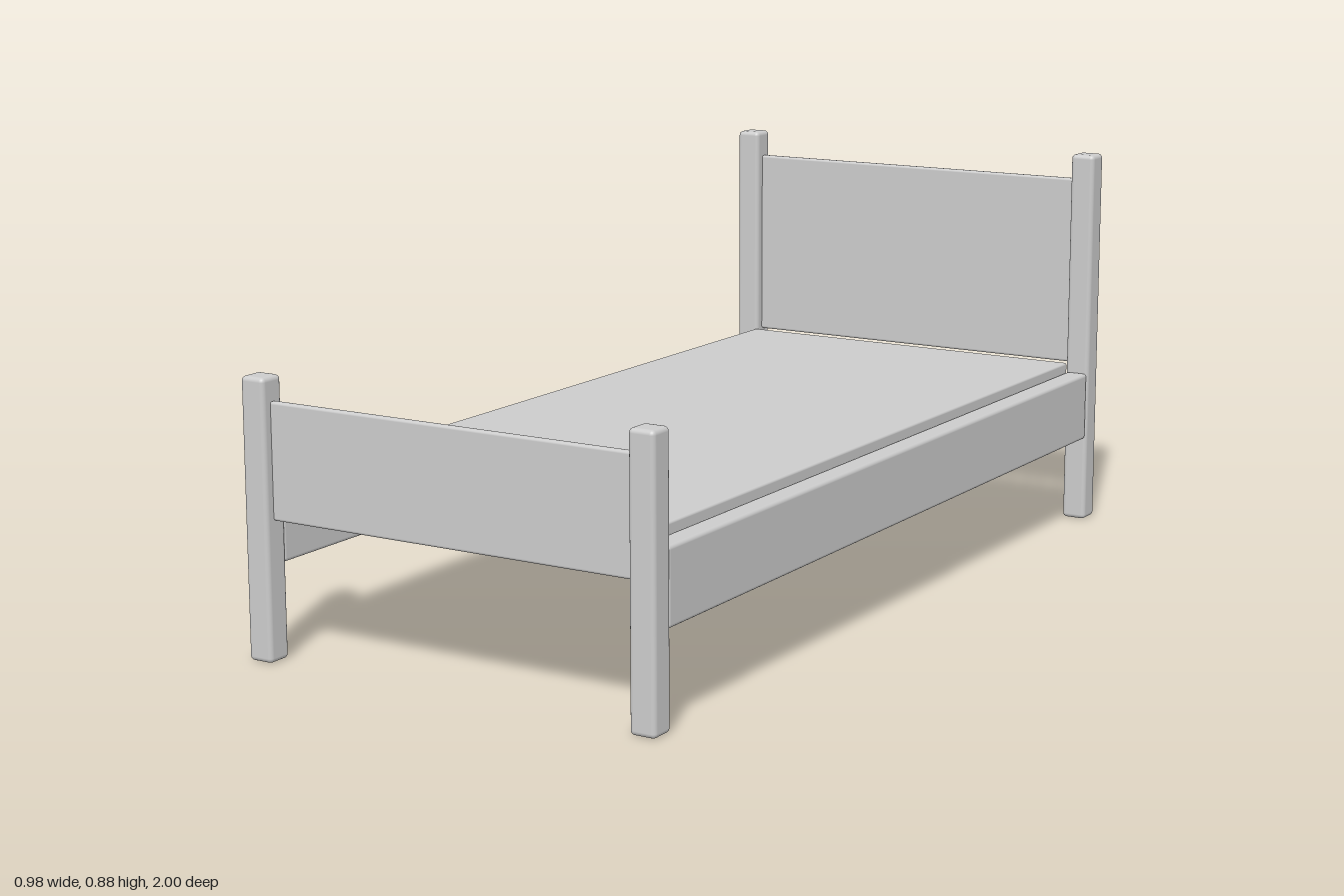
import * as THREE from 'three';
import { RoundedBoxGeometry } from 'three/addons/geometries/RoundedBoxGeometry.js';

const material = new THREE.MeshStandardMaterial({ color: 0xcccccc });

// Softly rounded block given by its size, bottom height and centre
function block(name, [w, h, d], x, bottom, z, radius) {
  const mesh = new THREE.Mesh(new RoundedBoxGeometry(w, h, d, 3, radius), material);
  mesh.name = name;
  mesh.position.set(x, bottom + h / 2, z);
  return mesh;
}

export function createModel() {
  const bed = new THREE.Group();
  bed.name = 'bed';

  const post = 0.058;
  const postX = 0.459;
  const postZ = 0.971;

  // Corner posts and side rails, mirrored left and right
  for (const [side, s] of [['left', 1], ['right', -1]]) {
    bed.add(
      block(side + 'HeadPost', [post, 0.885, post], s * postX, 0, -postZ, 0.01),
      block(side + 'FootPost', [post, 0.59, post], s * postX, 0, postZ, 0.01),
      block(side + 'SideRail', [0.052, 0.16, 1.89], s * postX, 0.2, 0, 0.008),
    );
  }

  // Thin end panels between the posts
  bed.add(
    block('headboard', [0.864, 0.445, 0.017], 0, 0.38, -postZ, 0.006),
    block('footboard', [0.864, 0.245, 0.017], 0, 0.295, postZ, 0.006),
  );

  // Mattress slab resting between the rails
  bed.add(block('mattress', [0.868, 0.077, 1.882], 0, 0.305, 0, 0.005));

  return bed;
}
